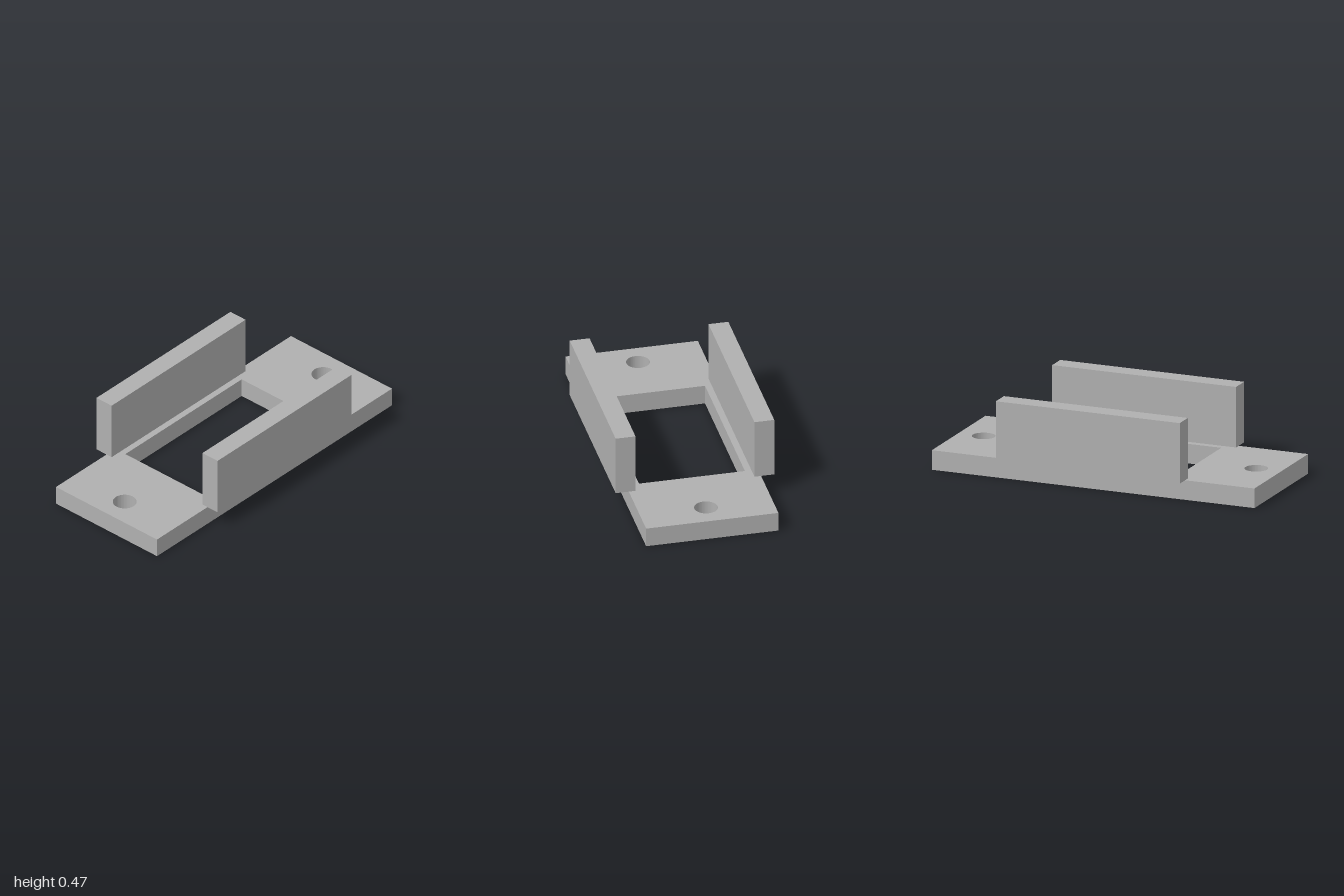
import * as THREE from 'three';

const PLATE = { width: 0.774, length: 2, height: 0.116 };
const WINDOW = { width: 0.62, length: 0.99 };
const SCREW = { radius: 0.068, offset: 0.845 };
const WALL = { width: 0.116, height: 0.359, length: 1.14, x: 0.406 };

// Closed rectangle centred on the origin
function rectangle(PathType, w, h) {
  const path = new PathType();
  path.moveTo(-w / 2, -h / 2);
  path.lineTo(w / 2, -h / 2);
  path.lineTo(w / 2, h / 2);
  path.lineTo(-w / 2, h / 2);
  path.closePath();
  return path;
}

export function createModel() {
  const group = new THREE.Group();
  group.name = 'mountingBracket';
  const grey = new THREE.MeshStandardMaterial({ color: 0xb0b0b0 });
  grey.name = 'grey';

  // Base plate with a rectangular window and a screw hole at each end
  const outline = rectangle(THREE.Shape, PLATE.width, PLATE.length);
  outline.holes.push(rectangle(THREE.Path, WINDOW.width, WINDOW.length));
  for (const side of [-1, 1]) {
    const hole = new THREE.Path();
    hole.absarc(0, side * SCREW.offset, SCREW.radius, 0, Math.PI * 2, true);
    outline.holes.push(hole);
  }
  const plateGeometry = new THREE.ExtrudeGeometry(outline, {
    depth: PLATE.height, bevelEnabled: false, curveSegments: 24,
  });
  plateGeometry.rotateX(-Math.PI / 2);
  const plate = new THREE.Mesh(plateGeometry, grey);
  plate.name = 'basePlate';
  group.add(plate);

  // Upright side walls, overhanging the long edges of the plate
  const wallGeometry = new THREE.BoxGeometry(WALL.width, WALL.height, WALL.length);
  for (const side of [-1, 1]) {
    const wall = new THREE.Mesh(wallGeometry, grey);
    wall.name = side > 0 ? 'leftWall' : 'rightWall';
    wall.position.set(side * WALL.x, PLATE.height + WALL.height / 2, 0);
    group.add(wall);
  }
  return group;
}
